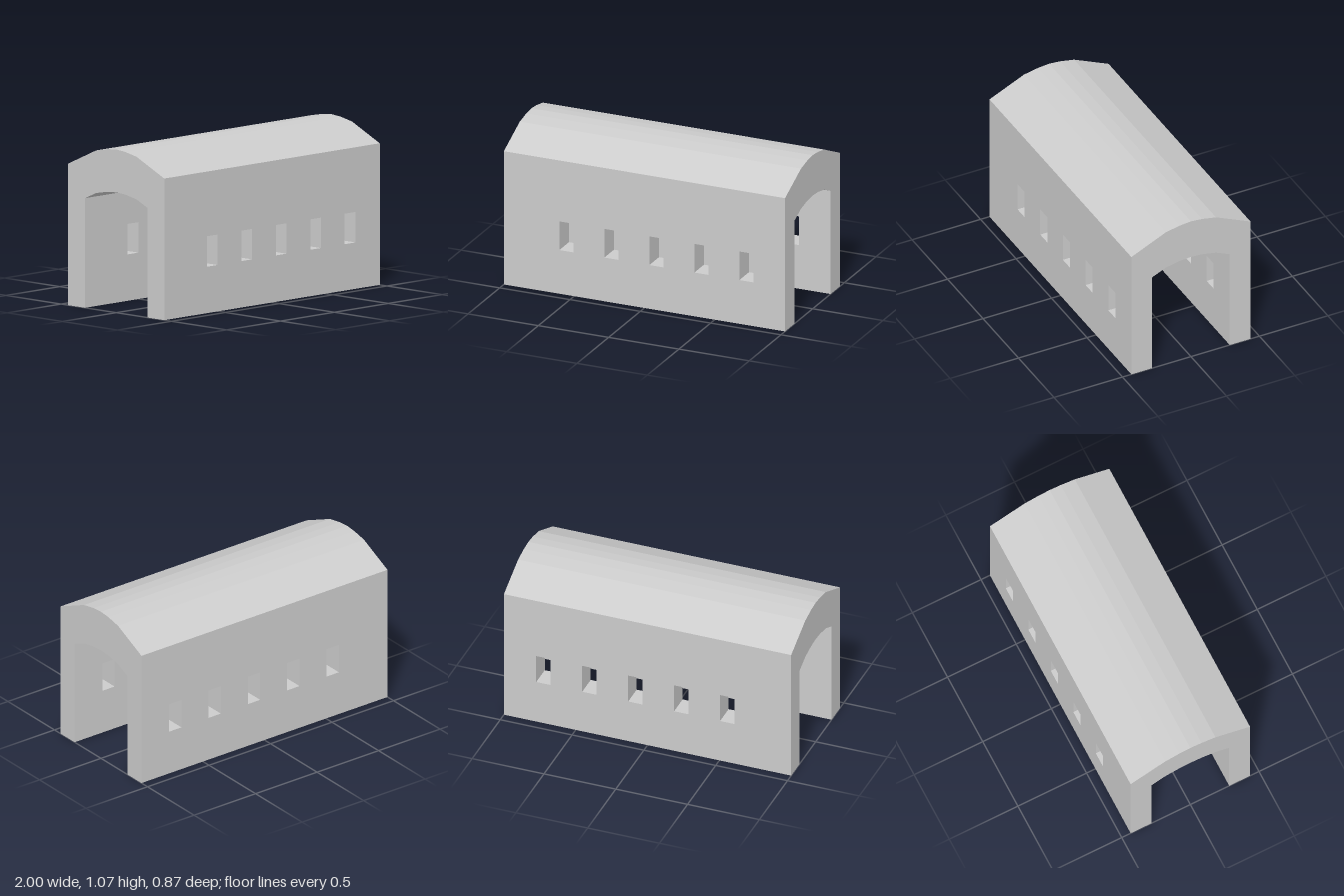
import * as THREE from 'three';

const LENGTH = 2;
const OUTER = 0.435; // half width outside
const INNER = 0.283; // half width of the passage
const SPRING = 0.72; // height where the vault starts
const WINDOW = { width: 0.1, bottom: 0.305, top: 0.505, first: -0.555, step: 0.32, count: 5 };

// Half profiles of the vault from the side to the crown: [z, y]
const ROOF = [[OUTER, SPRING], [OUTER, 0.93], [0.183, 1.045], [0.08, 1.065], [0, 1.072]];
const CEILING = [[INNER, SPRING], [0.183, 0.765], [0.08, 0.785], [0, 0.79]];

const vectors = (points) => points.map(([x, y]) => new THREE.Vector2(x, y));

// Mirror a half profile into a full arch running from + to -
const fullArch = (half) => [...half, ...half.slice(0, -1).reverse().map(([z, y]) => [-z, y])];

const rectangle = (x0, x1, y0, y1) => vectors([[x0, y0], [x1, y0], [x1, y1], [x0, y1]]);

// Side wall with a row of window openings
function wallGeometry() {
  const shape = new THREE.Shape(rectangle(-LENGTH / 2, LENGTH / 2, 0, SPRING));
  for (let i = 0; i < WINDOW.count; i++) {
    const x = WINDOW.first + i * WINDOW.step;
    shape.holes.push(new THREE.Path(
      rectangle(x - WINDOW.width / 2, x + WINDOW.width / 2, WINDOW.bottom, WINDOW.top)));
  }
  return new THREE.ExtrudeGeometry(shape, { depth: OUTER - INNER, bevelEnabled: false });
}

// Faceted vault: arch section extruded along x
function vaultGeometry() {
  const section = new THREE.Shape(vectors([...fullArch(ROOF), ...fullArch(CEILING).reverse()]));
  const geometry = new THREE.ExtrudeGeometry(section, { depth: LENGTH, bevelEnabled: false });
  return geometry.translate(0, 0, -LENGTH / 2).rotateY(Math.PI / 2);
}

export function createModel() {
  const model = new THREE.Group();
  model.name = 'vaultedTunnel';
  const material = new THREE.MeshStandardMaterial({ color: 0xcccccc, flatShading: true });

  const add = (name, geometry, z = 0) => {
    const mesh = new THREE.Mesh(geometry, material);
    mesh.name = name;
    mesh.position.z = z;
    model.add(mesh);
  };

  const wall = wallGeometry();
  add('frontWall', wall, INNER);
  add('backWall', wall, -OUTER);
  add('vaultedRoof', vaultGeometry());
  return model;
}
